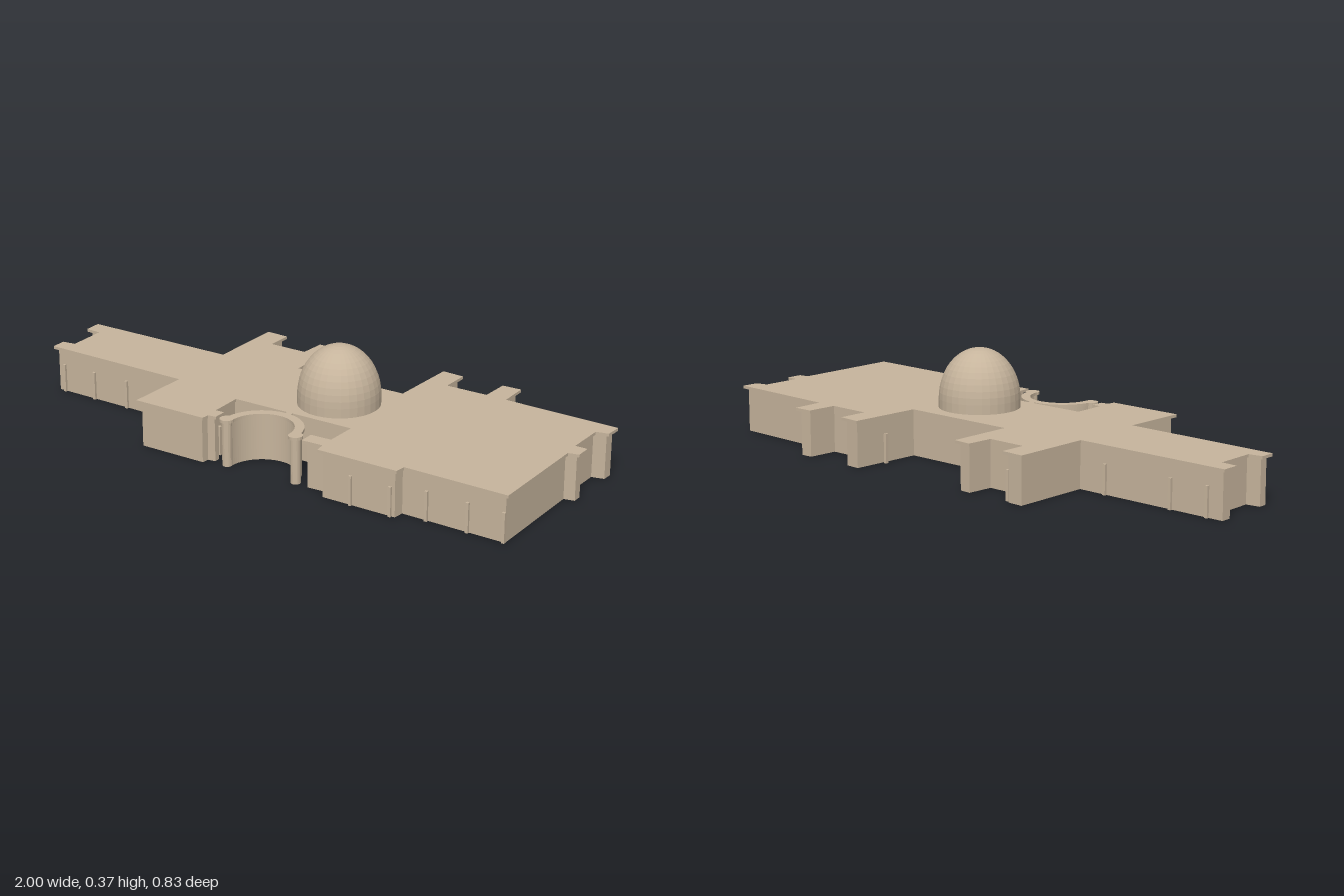
import * as THREE from 'three';

const material = new THREE.MeshStandardMaterial({ color: 0xc6b49c, flatShading: true });
const WALL_TOP = 0.153, ROOF_TOP = 0.163, OVERHANG = 0.013;

// Roof plan as [x, z], clockwise seen from above
const PLAN = [
  // rear side, from the right wing end to the left
  [-1, -0.158], [-0.438, -0.138], [-0.433, -0.418], [-0.35, -0.411], [-0.353, -0.318],
  [-0.214, -0.312], [-0.206, -0.404], [-0.14, -0.397], [-0.145, -0.165], [0.273, -0.151],
  [0.288, -0.404], [0.367, -0.396], [0.363, -0.293], [0.513, -0.288], [0.52, -0.392],
  [0.588, -0.392], [0.588, -0.283],
  // left end
  [1, -0.257], [0.995, -0.198], [0.953, -0.19], [0.947, -0.053], [0.99, -0.05],
  [0.988, 0.005], [0.952, 0.011], [0.942, 0.393],
  // front side with the entrance court
  [0.578, 0.375], [0.573, 0.412], [0.283, 0.4], [0.28, 0.363], [0.203, 0.363],
  [0.203, 0.31], [0.278, 0.31], [0.283, 0.198], [-0.167, 0.183], [-0.167, 0.3],
  [-0.135, 0.3], [-0.135, 0.346], [-0.163, 0.349], [-0.167, 0.376], [-0.438, 0.366],
  // right wing end
  [-0.43, 0.136], [-0.99, 0.108], [-0.99, 0.055], [-0.942, 0.05], [-0.942, -0.09], [-1, -0.096],
];

// Move every edge of a clockwise plan inwards
function inset(points, t) {
  const normal = (a, b) => {
    const dx = b[0] - a[0], dz = b[1] - a[1], l = Math.hypot(dx, dz);
    return [-dz / l, dx / l];
  };
  return points.map((p, i) => {
    const n = points.length;
    const a = normal(points[(i + n - 1) % n], p), b = normal(p, points[(i + 1) % n]);
    const k = t / (1 + a[0] * b[0] + a[1] * b[1]);
    return [p[0] + (a[0] + b[0]) * k, p[1] + (a[1] + b[1]) * k];
  });
}

function add(group, name, geometry, x = 0, y = 0, z = 0) {
  const mesh = new THREE.Mesh(geometry, material);
  mesh.name = name;
  mesh.position.set(x, y, z);
  group.add(mesh);
  return mesh;
}

// Raise a plan shape (x, -z) from y0 to y1
function slab(shape, y0, y1) {
  return new THREE.ExtrudeGeometry(shape, { depth: y1 - y0, bevelEnabled: false, curveSegments: 20 })
    .rotateX(-Math.PI / 2).translate(0, y0, 0);
}

const planShape = (points) => new THREE.Shape(points.map(([x, z]) => new THREE.Vector2(x, -z)));

function arcShape(cx, cz, inner, outer) {
  const s = new THREE.Shape();
  s.absarc(cx, -cz, outer, 0, Math.PI, false);
  s.absarc(cx, -cz, inner, Math.PI, 0, true);
  return s;
}

export function createModel() {
  const model = new THREE.Group();
  model.name = 'domedBuilding';

  // Main block and its thin overhanging roof
  add(model, 'walls', slab(planShape(inset(PLAN, OVERHANG)), 0, WALL_TOP));
  add(model, 'roof', slab(planShape(PLAN), WALL_TOP, ROOF_TOP));

  // Curved entrance screen with round end piers
  const screen = new THREE.Group();
  screen.name = 'entranceScreen';
  model.add(screen);
  const cx = 0.033, cz = 0.338;
  add(screen, 'screenWall', slab(arcShape(cx, cz, 0.116, 0.131), 0, WALL_TOP));
  add(screen, 'screenCoping', slab(arcShape(cx, cz, 0.108, 0.139), WALL_TOP, ROOF_TOP));
  add(screen, 'screenLink', new THREE.BoxGeometry(0.022, ROOF_TOP, 0.035), 0.048, ROOF_TOP / 2, 0.197);
  for (const x of [cx - 0.131, cx + 0.131]) {
    add(screen, 'endPier', new THREE.CylinderGeometry(0.017, 0.017, WALL_TOP, 16), x, WALL_TOP / 2, cz);
    add(screen, 'pierCap', new THREE.CylinderGeometry(0.024, 0.024, ROOF_TOP - WALL_TOP, 16),
      x, (WALL_TOP + ROOF_TOP) / 2, cz);
  }

  // Dome: short drum below an elliptical cap
  const profile = [new THREE.Vector2(0.138, 0.155)];
  for (let i = 0; i <= 12; i++) {
    const a = (i / 12) * Math.PI / 2;
    profile.push(new THREE.Vector2(i === 12 ? 0 : 0.138 * Math.cos(a), 0.195 + 0.17 * Math.sin(a)));
  }
  add(model, 'dome', new THREE.LatheGeometry(profile, 32), 0.137, 0, 0.03);

  // Slim posts standing against the walls
  const posts = [
    [-0.95, 0.1], [-0.815, 0.107], [-0.67, 0.114], [0.4, 0.394], [0.545, 0.4],
    [0.655, 0.369], [0.8, 0.376], [0.925, 0.381], [-0.53, -0.132], [-0.79, -0.141],
    [-0.93, -0.146], [-0.35, -0.385], [-0.145, -0.18], [0.279, -0.277], [0.279, 0.24], [-0.167, 0.28],
  ];
  for (const [x, z] of posts) add(model, 'wallPost', new THREE.BoxGeometry(0.01, 0.1, 0.012), x, 0.05, z);

  return model;
}
